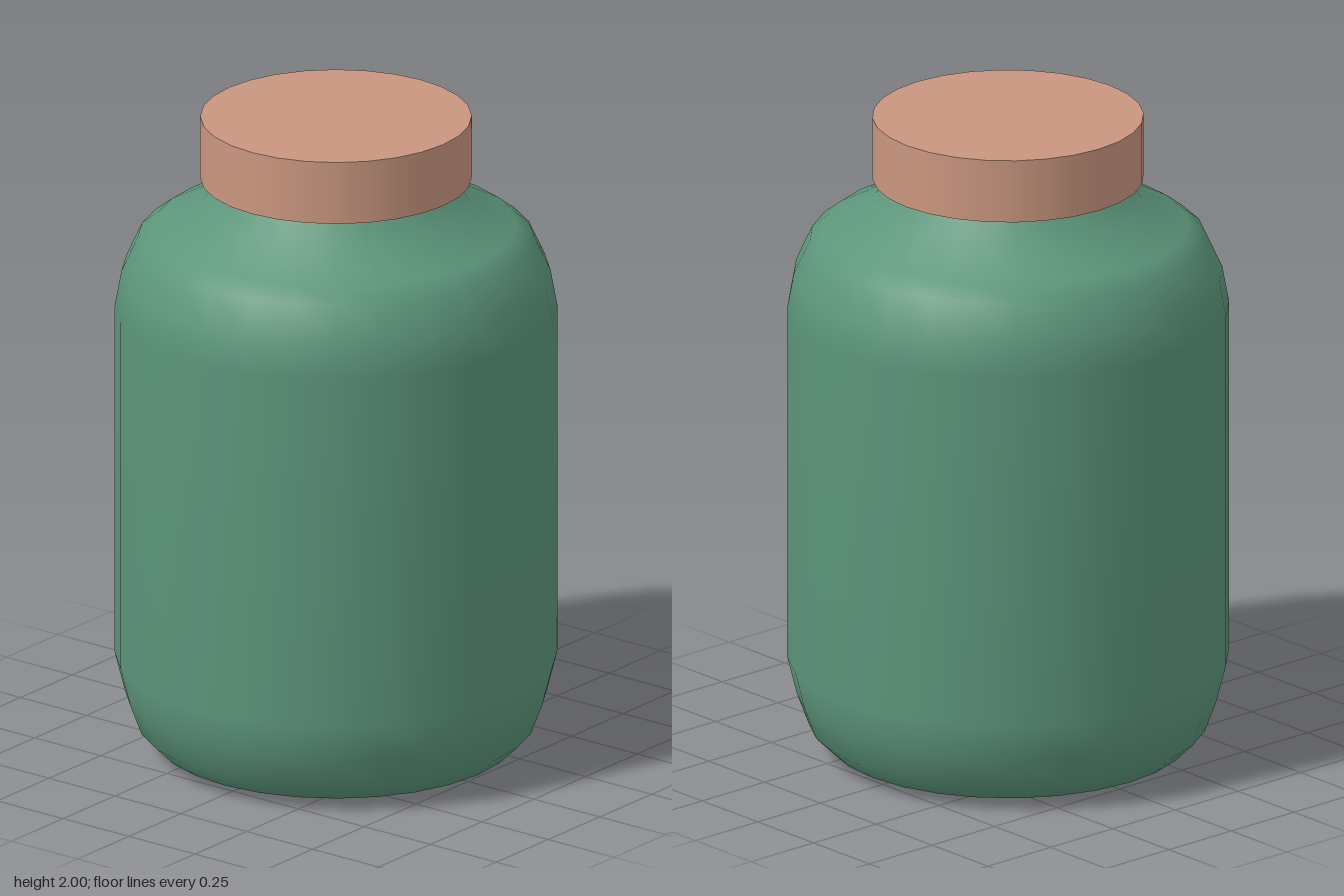
import * as THREE from 'three';

const SIDES = 28;

// Revolve a list of [radius, height] points around the y axis.
function revolve(name, profile, material) {
  const points = profile.map(([r, y]) => new THREE.Vector2(r, y));
  const mesh = new THREE.Mesh(new THREE.LatheGeometry(points, SIDES), material);
  mesh.name = name;
  return mesh;
}

export function createModel() {
  const green = new THREE.MeshStandardMaterial({ color: 0x5c957b });
  green.name = 'jarGreen';
  const clay = new THREE.MeshStandardMaterial({ color: 0xc9967f });
  clay.name = 'lidClay';

  const jar = new THREE.Group();
  jar.name = 'jar';

  // Body: flat base, rounded foot, straight wall, shoulder and neck
  jar.add(revolve('body', [
    [0, 0], [0.44, 0], [0.54, 0.03], [0.595, 0.085], [0.63, 0.18], [0.66, 0.3],
    [0.66, 1.4], [0.64, 1.51], [0.592, 1.615], [0.54, 1.655], [0.4, 1.73], [0.34, 1.82],
  ], green));

  // Lid: plain disc with sharp rims
  const lid = new THREE.Mesh(new THREE.CylinderGeometry(0.405, 0.405, 0.195, SIDES), clay);
  lid.name = 'lid';
  lid.position.y = 1.9025;
  jar.add(lid);

  return jar;
}
